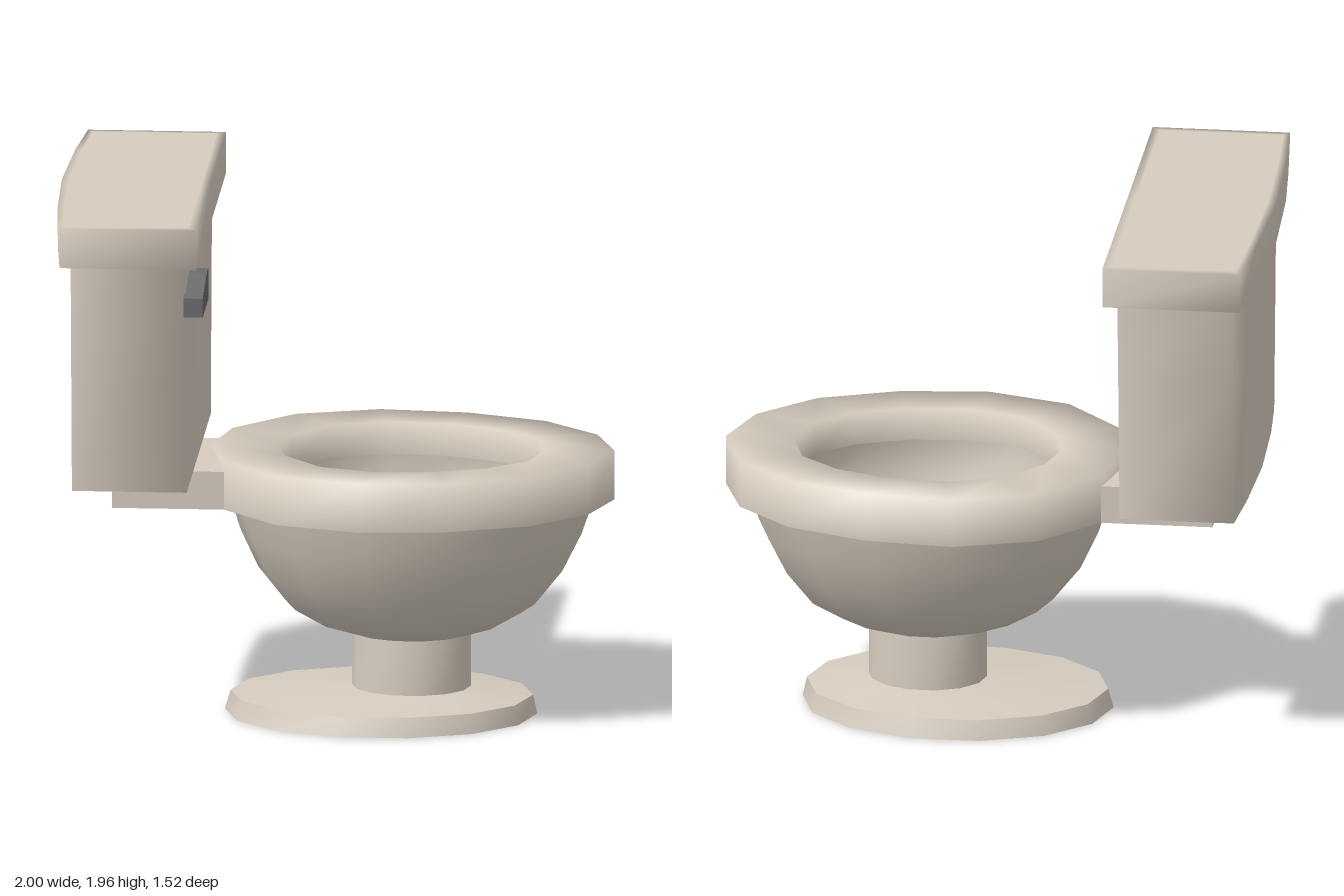
import * as THREE from 'three';

const ceramic = new THREE.MeshStandardMaterial({ color: 0xd6ccbf, side: THREE.DoubleSide });
ceramic.name = 'ceramic';
const metal = new THREE.MeshStandardMaterial({ color: 0x6c6c6e });
metal.name = 'darkMetal';

const SIDES = 14;

// Elliptical ring, counter-clockwise seen from above
function ellipse(y, x0, x1, rz) {
  const cx = (x0 + x1) / 2, rx = (x1 - x0) / 2;
  return Array.from({ length: SIDES }, (_, i) => {
    const a = (i / SIDES) * Math.PI * 2;
    return [cx + rx * Math.cos(a), y, -rz * Math.sin(a)];
  });
}

// Ring from half an outline (nose to back), mirrored across z
function mirrored(y, half) {
  const side = half.map(([x, z]) => [x, y, -z]);
  const other = half.slice(1, -1).reverse().map(([x, z]) => [x, y, z]);
  return [...side, ...other];
}

// Skin through rings; a cap closes the last or first ring
function loft(rings, { capEnd = false, capStart = false } = {}) {
  const n = rings[0].length, pos = rings.flat(2), idx = [];
  for (let r = 0; r < rings.length - 1; r++) {
    for (let i = 0; i < n; i++) {
      const j = (i + 1) % n, a = r * n + i, b = r * n + j;
      idx.push(a, b, b + n, a, b + n, a + n);
    }
  }
  const cap = (ring, flip) => {
    const start = pos.length / 3;
    pos.push(...ring.flat());
    for (let i = 1; i < n - 1; i++) {
      idx.push(start, start + (flip ? i + 1 : i), start + (flip ? i : i + 1));
    }
  };
  if (capEnd) cap(rings[rings.length - 1], false);
  if (capStart) cap(rings[0], true);
  const g = new THREE.BufferGeometry();
  g.setAttribute('position', new THREE.Float32BufferAttribute(pos, 3));
  g.setIndex(idx);
  g.computeVertexNormals();
  return g;
}

// Tank outline: flat front, gently bowed back
function tankRing(y, front, corner, back, z) {
  const mid = back + (corner - back) * 0.4;
  return [
    [front, y, z], [front, y, 0], [front, y, -z], [corner, y, -z],
    [mid, y, -z * 0.6], [back, y, 0], [mid, y, z * 0.6], [corner, y, z],
  ];
}

export function createModel() {
  const model = new THREE.Group();
  const add = (name, geometry, material = ceramic) => {
    const mesh = new THREE.Mesh(geometry, material);
    mesh.name = name;
    model.add(mesh);
    return mesh;
  };

  // Foot: short flared wall, shallow sloping top, hollow below
  add('footWall', loft([ellipse(0, -0.41, 0.72, 0.425), ellipse(0.07, -0.39, 0.705, 0.4)]));
  add('footTop', loft([ellipse(0.07, -0.39, 0.705, 0.4), ellipse(0.1, 0.05, 0.48, 0.18)]));
  add('column', loft([ellipse(0.1, 0.05, 0.48, 0.18), ellipse(0.3, 0.05, 0.48, 0.17)]));

  // Outer bowl
  add('bowl', loft([
    ellipse(0.3, 0.05, 0.48, 0.17),
    ellipse(0.335, -0.07, 0.59, 0.25),
    ellipse(0.405, -0.19, 0.71, 0.345),
    ellipse(0.53, -0.29, 0.81, 0.43),
    ellipse(0.67, -0.355, 0.88, 0.495),
    ellipse(0.8, -0.395, 0.925, 0.53),
  ]));

  // Rim: soft ring with vertical walls
  const outer = [[1, 0], [0.92, 0.245], [0.72, 0.44], [0.43, 0.55], [0.11, 0.58],
    [-0.19, 0.485], [-0.4, 0.255], [-0.46, 0]];
  const inner = [[0.75, 0], [0.7, 0.18], [0.56, 0.3], [0.38, 0.37], [0.16, 0.39],
    [-0.04, 0.325], [-0.18, 0.16], [-0.22, 0]];
  add('rim', loft([mirrored(0.8, outer), mirrored(0.98, outer), mirrored(0.98, inner), mirrored(0.86, inner)]));
  add('rimUnderside', loft([ellipse(0.8, -0.395, 0.925, 0.53), mirrored(0.8, outer)]));

  // Basin inside the bowl
  add('basin', loft([
    mirrored(0.86, inner),
    ellipse(0.72, -0.22, 0.76, 0.4),
    ellipse(0.53, -0.13, 0.65, 0.32),
    ellipse(0.4, 0.01, 0.52, 0.2),
  ], { capEnd: true }));

  // Neck joining bowl and tank
  add('neck', new THREE.BoxGeometry(0.46, 0.14, 0.52)).position.set(-0.57, 0.87, 0);

  // Tank, widening upward
  add('tank', loft([
    tankRing(0.945, -0.505, -0.92, -0.95, 0.61),
    tankRing(1.5, -0.505, -0.92, -0.95, 0.655),
    tankRing(1.805, -0.505, -0.92, -0.95, 0.68),
  ], { capEnd: true, capStart: true }));

  // Lid with a softened upper edge
  add('tankLid', loft([
    tankRing(1.805, -0.46, -0.955, -1, 0.75),
    tankRing(1.955, -0.46, -0.96, -1, 0.762),
    tankRing(1.957, -0.49, -0.94, -0.97, 0.73),
  ], { capEnd: true, capStart: true }));

  // Flush lever, tapering toward the outer end
  const lever = new THREE.Shape([[-0.71, 1.62], [-0.42, 1.62], [-0.42, 1.735], [-0.51, 1.735], [-0.71, 1.69]]
    .map(([x, y]) => new THREE.Vector2(x, y)));
  const leverGeometry = new THREE.ExtrudeGeometry(lever, { depth: 0.07, bevelEnabled: false });
  leverGeometry.rotateY(Math.PI / 2);
  add('flushLever', leverGeometry, metal).position.x = -0.51;

  return model;
}
